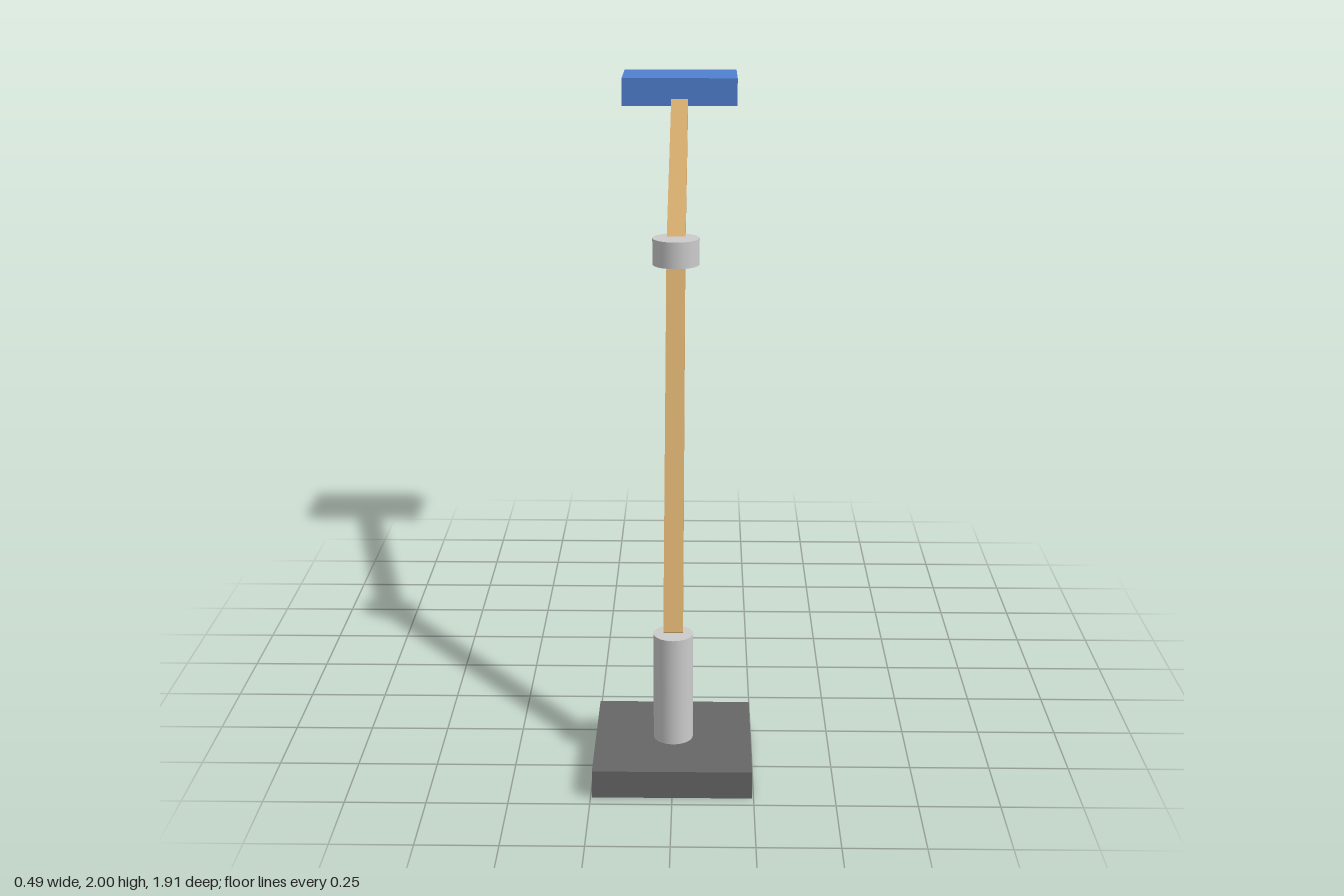
import * as THREE from 'three';

const grey = new THREE.MeshStandardMaterial({ color: 0xcccccc });
const charcoal = new THREE.MeshStandardMaterial({ color: 0x666666 });
const wood = new THREE.MeshStandardMaterial({ color: 0xd2a96b });
const blue = new THREE.MeshStandardMaterial({ color: 0x5080d0 });

// Pivot points of the lamp, bottom to top
const foot = new THREE.Vector3(0, 0.44, 0.713);
const elbow = new THREE.Vector3(0, 1.54, 0.157);
const tip = new THREE.Vector3(0, 1.95, -0.817);

export function createModel() {
  const model = new THREE.Group();
  model.name = 'deskLamp';

  const add = (name, geometry, material, x, y, z) => {
    const mesh = new THREE.Mesh(geometry, material);
    mesh.name = name;
    mesh.position.set(x, y, z);
    model.add(mesh);
    return mesh;
  };

  // Square bar running between two pivots
  const addArm = (name, from, to) => {
    const span = to.clone().sub(from);
    const mid = from.clone().add(to).multiplyScalar(0.5);
    const arm = add(name, new THREE.BoxGeometry(0.061, span.length(), 0.061), wood, mid.x, mid.y, mid.z);
    arm.rotation.x = Math.atan2(span.z, span.y);
  };

  // Base and post
  add('base', new THREE.BoxGeometry(0.49, 0.088, 0.49), charcoal, 0, 0.044, foot.z);
  add('post', new THREE.CylinderGeometry(0.062, 0.062, 0.352, 32), grey, 0, 0.264, foot.z);

  // Arms and elbow joint
  addArm('lowerArm', foot, elbow);
  add('elbowJoint', new THREE.CylinderGeometry(0.077, 0.077, 0.087, 32), grey, 0, elbow.y, elbow.z);
  addArm('upperArm', elbow, tip);

  // Lamp head
  add('lampHead', new THREE.BoxGeometry(0.42, 0.1, 0.278), blue, 0, tip.y, tip.z);

  return model;
}
